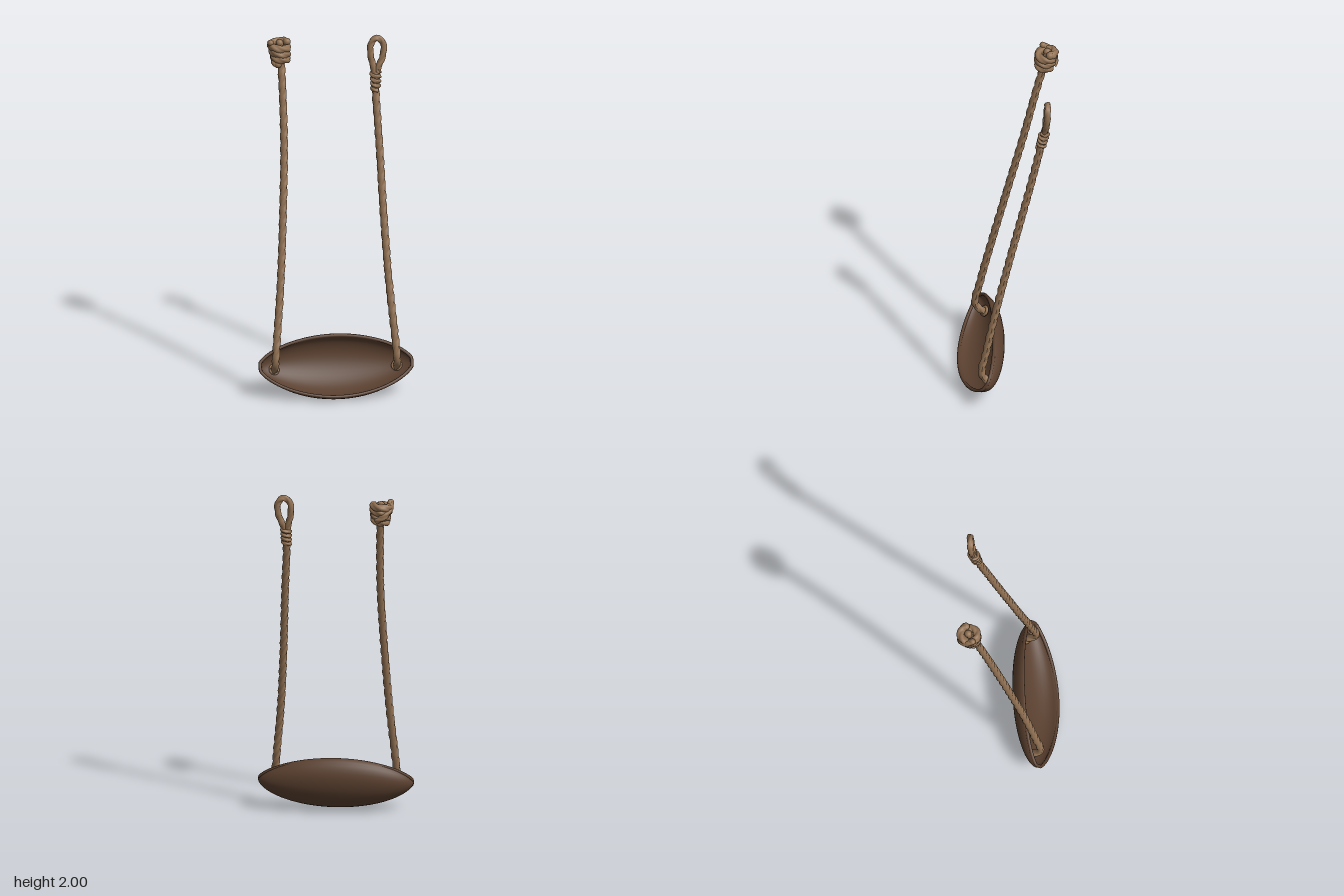
import * as THREE from 'three';

const V = (x, y, z) => new THREE.Vector3(x, y, z);
const ropeMat = new THREE.MeshStandardMaterial({ color: 0x917153, name: 'rope tan' });
const leatherMat = new THREE.MeshStandardMaterial({ color: 0x5a402f, name: 'leather brown' });
const holeMat = new THREE.MeshStandardMaterial({ color: 0x2c1f17, name: 'eyelet dark' });

function add(parent, name, geometry, material) {
  const mesh = new THREE.Mesh(geometry, material);
  mesh.name = name;
  parent.add(mesh);
  return mesh;
}

// Three-strand twisted cord swept along a path
function cord(points, radius, closed = false) {
  const curve = new THREE.CatmullRomCurve3(points, closed);
  const length = curve.getLength();
  const seg = Math.ceil(length * 150) + 12, sides = 15;
  const geo = new THREE.TubeGeometry(curve, seg, radius, sides, closed);
  const pos = geo.attributes.position, nor = geo.attributes.normal;
  const twist = Math.round(length * 5) * Math.PI * 2;
  for (let i = 0; i <= seg; i++) {
    for (let j = 0; j <= sides; j++) {
      const k = i * (sides + 1) + j;
      const lobe = Math.abs(Math.cos(1.5 * (j / sides * Math.PI * 2) + twist * i / seg * 1.5));
      const d = radius * (0.3 * lobe - 0.2);
      pos.setXYZ(k, pos.getX(k) + nor.getX(k) * d, pos.getY(k) + nor.getY(k) * d, pos.getZ(k) + nor.getZ(k) * d);
    }
  }
  geo.computeVertexNormals();
  return geo;
}

// Helical path around a centre line running from a to b
function coil(a, b, r0, r1, turns, phase = 0) {
  const n = Math.round(turns * 12);
  return Array.from({ length: n + 1 }, (_, i) => {
    const t = i / n, ang = phase + t * turns * Math.PI * 2, r = r0 + (r1 - r0) * t;
    return a.clone().lerp(b, t).add(V(Math.cos(ang) * r, 0, Math.sin(ang) * r));
  });
}

// Pouch: boat-shaped shell, tilted with its hollow facing up and forward
const HALF = 0.437, WIDTH = 0.188, DEPTH = 0.142;
const taper = x => Math.pow(Math.max(0, 1 - (x / HALF) ** 2), 0.65);
function pouchPoint(x, u, n) {
  const c = 0.835, s = 0.548;
  return V(x, 0.178 + u * c - n * s, 0.182 - 0.028 * (x / HALF) ** 2 - u * s - n * c);
}
function pouchGeometry() {
  const rows = 56, arc = 20, pos = [], idx = [];
  const per = 2 * (arc + 1) + 2;
  for (let i = 0; i <= rows; i++) {
    const x = HALF * Math.sin((i / rows - 0.5) * Math.PI);
    const f = taper(x), w = WIDTH * f, d = DEPTH * Math.pow(f, 0.85);
    const section = [];
    for (let k = 0; k <= arc; k++) {
      const t = k / arc * Math.PI;
      section.push([-w * Math.cos(t), d * Math.sin(t)]);
    }
    section.push([w * 0.95, -0.01 * f]);
    for (let k = arc; k >= 0; k--) {
      const t = k / arc * Math.PI;
      section.push([-w * 0.89 * Math.cos(t), d * 0.8 * Math.sin(t)]);
    }
    section.push([-w * 0.95, -0.01 * f]);
    section.forEach(([u, n]) => pos.push(...pouchPoint(x, u, n).toArray()));
  }
  for (let i = 0; i < rows; i++) {
    for (let k = 0; k < per; k++) {
      const a = i * per + k, b = i * per + (k + 1) % per;
      idx.push(a, b, a + per, b, b + per, a + per);
    }
  }
  const geo = new THREE.BufferGeometry();
  geo.setAttribute('position', new THREE.Float32BufferAttribute(pos, 3));
  geo.setIndex(idx);
  geo.computeVertexNormals();
  return geo;
}

export function createModel() {
  const model = new THREE.Group();
  model.name = 'sling';

  // Leather pouch with a rolled rim
  const pouch = new THREE.Group();
  pouch.name = 'pouch';
  model.add(pouch);
  add(pouch, 'pouchShell', pouchGeometry(), leatherMat);
  const rim = [];
  for (let i = 0; i < 64; i++) {
    const a = i / 64 * Math.PI * 2, x = (HALF - 0.01) * Math.cos(a);
    rim.push(pouchPoint(x, Math.sign(Math.sin(a)) * WIDTH * 0.94 * taper(x), 0));
  }
  add(pouch, 'pouchRim', new THREE.TubeGeometry(new THREE.CatmullRomCurve3(rim, true), 160, 0.0095, 8, true), leatherMat);

  // Eyelets where the cords pass through the pouch
  for (const side of [-1, 1]) {
    const x = 0.345 * side, d = DEPTH * Math.pow(taper(x), 0.85) * 0.8;
    const facing = V(-0.3 * side, 0.548, 0.835).normalize();
    const turn = new THREE.Quaternion().setFromUnitVectors(V(0, 0, 1), facing);
    const hole = add(pouch, 'eyeletHole', new THREE.CylinderGeometry(0.03, 0.03, 0.006, 24).rotateX(Math.PI / 2), holeMat);
    const ring = add(pouch, 'eyeletCord', new THREE.TorusGeometry(0.024, 0.008, 8, 24), ropeMat);
    hole.position.copy(pouchPoint(x, 0, d - 0.004));
    ring.position.copy(pouchPoint(x, 0, d - 0.01));
    hole.quaternion.copy(turn);
    ring.quaternion.copy(turn);
  }

  // Right cord, ending in a coiled stopper knot
  const right = new THREE.Group();
  right.name = 'rightCord';
  model.add(right);
  add(right, 'rightRope', cord([
    V(-0.345, 0.14, 0.12), V(-0.343, 0.2, 0.168), V(-0.33, 0.36, 0.142), V(-0.305, 0.64, 0.082),
    V(-0.283, 1.0, -0.002), V(-0.266, 1.4, -0.098), V(-0.267, 1.72, -0.172), V(-0.272, 1.86, -0.208),
    V(-0.277, 1.965, -0.232)], 0.0205), ropeMat);
  const knotPath = coil(V(-0.272, 1.855, -0.212), V(-0.279, 1.967, -0.229), 0.034, 0.047, 3.6, 2.2);
  add(right, 'stopperKnot', cord(knotPath, 0.0215), ropeMat);
  for (const p of [V(-0.277, 1.965, -0.232), knotPath[0], knotPath[knotPath.length - 1]]) {
    add(right, 'ropeEnd', new THREE.SphereGeometry(0.0215, 14, 10), ropeMat).position.copy(p);
  }
  add(right, 'knotTail', cord([V(-0.25, 1.88, -0.262), V(-0.295, 1.91, -0.277),
    V(-0.328, 1.95, -0.245), V(-0.33, 1.975, -0.21)], 0.018), ropeMat);
  add(right, 'ropeEnd', new THREE.SphereGeometry(0.018, 14, 10), ropeMat).position.set(-0.33, 1.975, -0.21);

  // Left cord, ending in a bound finger loop
  const left = new THREE.Group();
  left.name = 'leftCord';
  model.add(left);
  add(left, 'leftRope', cord([
    V(0.345, 0.14, 0.12), V(0.343, 0.2, 0.168), V(0.33, 0.36, 0.142), V(0.305, 0.64, 0.082),
    V(0.285, 1.0, -0.002), V(0.27, 1.4, -0.098), V(0.257, 1.68, -0.162), V(0.257, 1.79, -0.185)], 0.0205), ropeMat);
  add(left, 'fingerLoop', cord([
    V(0.252, 1.72, -0.172), V(0.25, 1.8, -0.187), V(0.235, 1.87, -0.196), V(0.231, 1.93, -0.201),
    V(0.246, 1.972, -0.203), V(0.27, 1.983, -0.203), V(0.296, 1.967, -0.202), V(0.307, 1.925, -0.2),
    V(0.296, 1.865, -0.195), V(0.27, 1.8, -0.187), V(0.264, 1.72, -0.172)], 0.0175), ropeMat);
  add(left, 'loopBinding', cord(coil(V(0.257, 1.69, -0.165), V(0.259, 1.795, -0.186), 0.019, 0.023, 4, 1), 0.011), ropeMat);

  return model;
}
